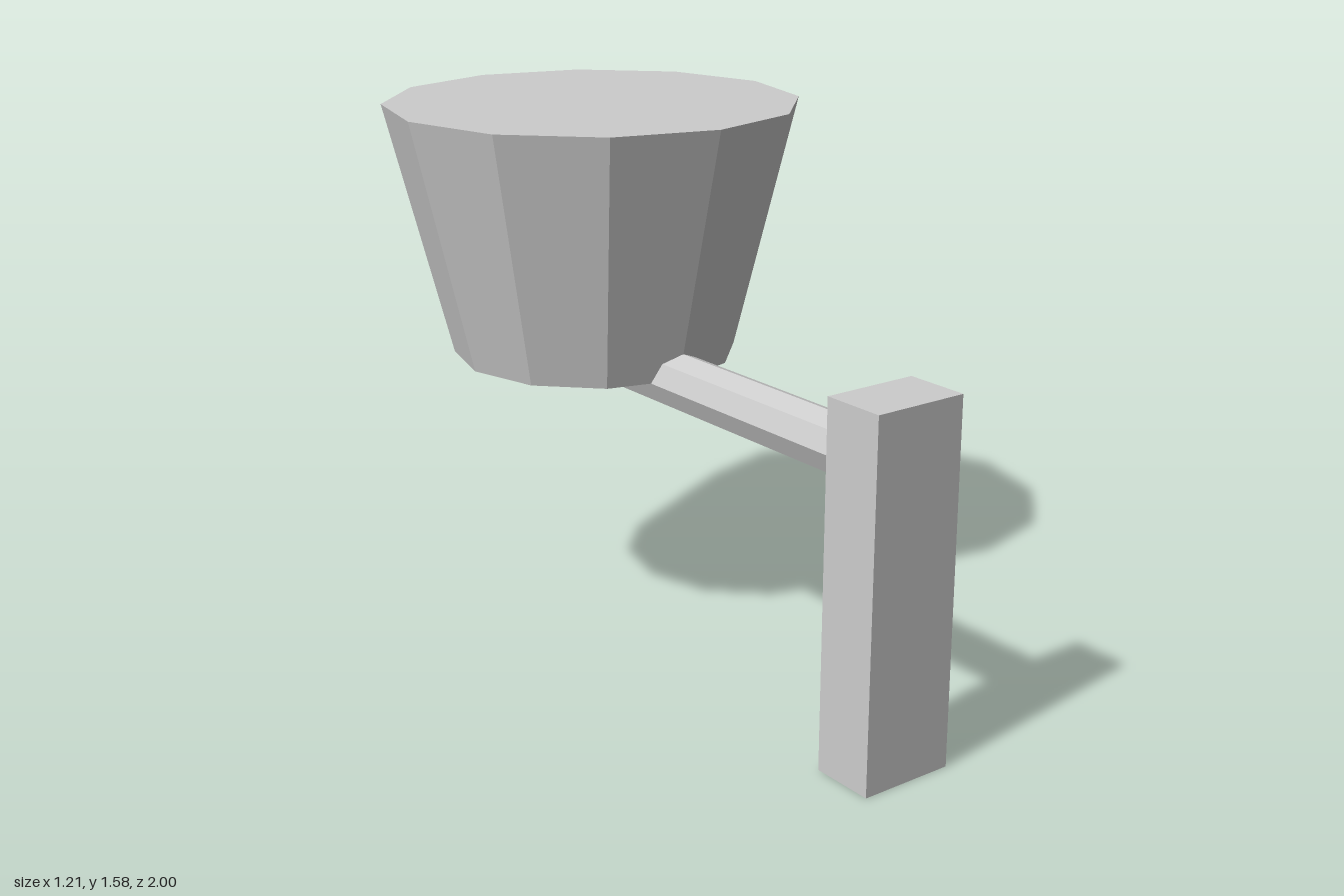
import * as THREE from 'three';

export function createModel() {
  const model = new THREE.Group();
  model.name = 'wallLamp';
  const grey = new THREE.MeshStandardMaterial({ color: 0xcccccc });
  grey.name = 'light grey';
  grey.flatShading = true;

  const add = (name, geometry, x, y, z) => {
    const mesh = new THREE.Mesh(geometry, grey);
    mesh.name = name;
    mesh.position.set(x, y, z);
    model.add(mesh);
  };

  // Upright mounting plate
  add('mountingPlate', new THREE.BoxGeometry(0.28, 1.025, 0.185), 0, 0.5125, 0.9075);

  // Octagonal arm running back under the shade, one edge on top
  const arm = new THREE.CylinderGeometry(0.082, 0.082, 1.21, 8).rotateX(Math.PI / 2);
  add('arm', arm, 0, 0.84, 0.21);

  // Closed twelve-sided shade, wider at the top
  add('shade', new THREE.CylinderGeometry(0.603, 0.418, 0.74, 12), 0, 1.21, -0.397);

  return model;
}
